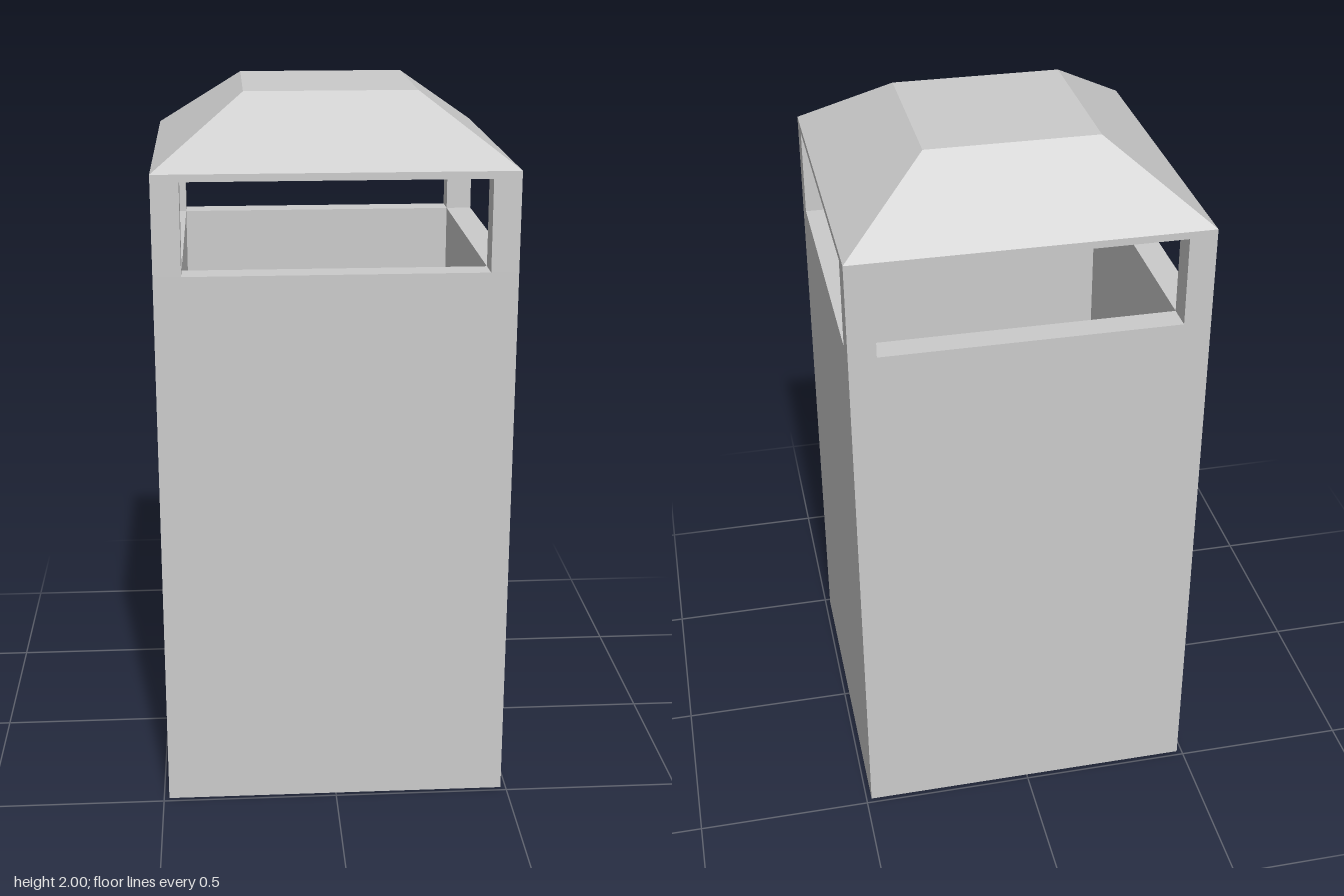
import * as THREE from 'three';

const HALF = 0.485;   // outer half width
const INNER = 0.41;   // half width of cavity and openings
const SILL = 1.55, LINTEL = 1.8, EAVES = 1.82, TOP = 2;
const FLOOR = 0.075;

const material = new THREE.MeshStandardMaterial({ color: 0xcccccc, flatShading: true });

function addPart(group, name, geometry, x, y, z) {
  const mesh = new THREE.Mesh(geometry, material);
  mesh.name = name;
  mesh.position.set(x, y, z);
  group.add(mesh);
  return mesh;
}

function squarePoints(h) {
  return [[-h, -h], [h, -h], [h, h], [-h, h]].map(([x, y]) => new THREE.Vector2(x, y));
}

export function createModel() {
  const bin = new THREE.Group();
  bin.name = 'litterBin';

  // Hollow square body, open at the top
  const ring = new THREE.Shape(squarePoints(HALF));
  ring.holes.push(new THREE.Path(squarePoints(INNER).reverse()));
  const walls = new THREE.ExtrudeGeometry(ring, { depth: SILL, bevelEnabled: false });
  walls.rotateX(-Math.PI / 2);
  addPart(bin, 'bodyWalls', walls, 0, 0, 0);

  // Floor closing the bottom
  addPart(bin, 'floor', new THREE.BoxGeometry(2 * INNER, FLOOR, 2 * INNER), 0, FLOOR / 2, 0);

  // Corner posts between the four openings
  const thick = HALF - INNER, mid = (HALF + INNER) / 2;
  const post = new THREE.BoxGeometry(thick, LINTEL - SILL, thick);
  for (const sx of [-1, 1]) {
    for (const sz of [-1, 1]) {
      addPart(bin, 'cornerPost', post, sx * mid, (SILL + LINTEL) / 2, sz * mid);
    }
  }

  // Thin slab over the openings
  addPart(bin, 'lintelSlab', new THREE.BoxGeometry(2 * HALF, EAVES - LINTEL, 2 * HALF),
    0, (LINTEL + EAVES) / 2, 0);

  // Roof: truncated pyramid
  const roof = new THREE.CylinderGeometry(0.237 * Math.SQRT2, HALF * Math.SQRT2, TOP - EAVES, 4);
  roof.rotateY(Math.PI / 4);
  addPart(bin, 'roof', roof, 0, (EAVES + TOP) / 2, 0);

  return bin;
}
